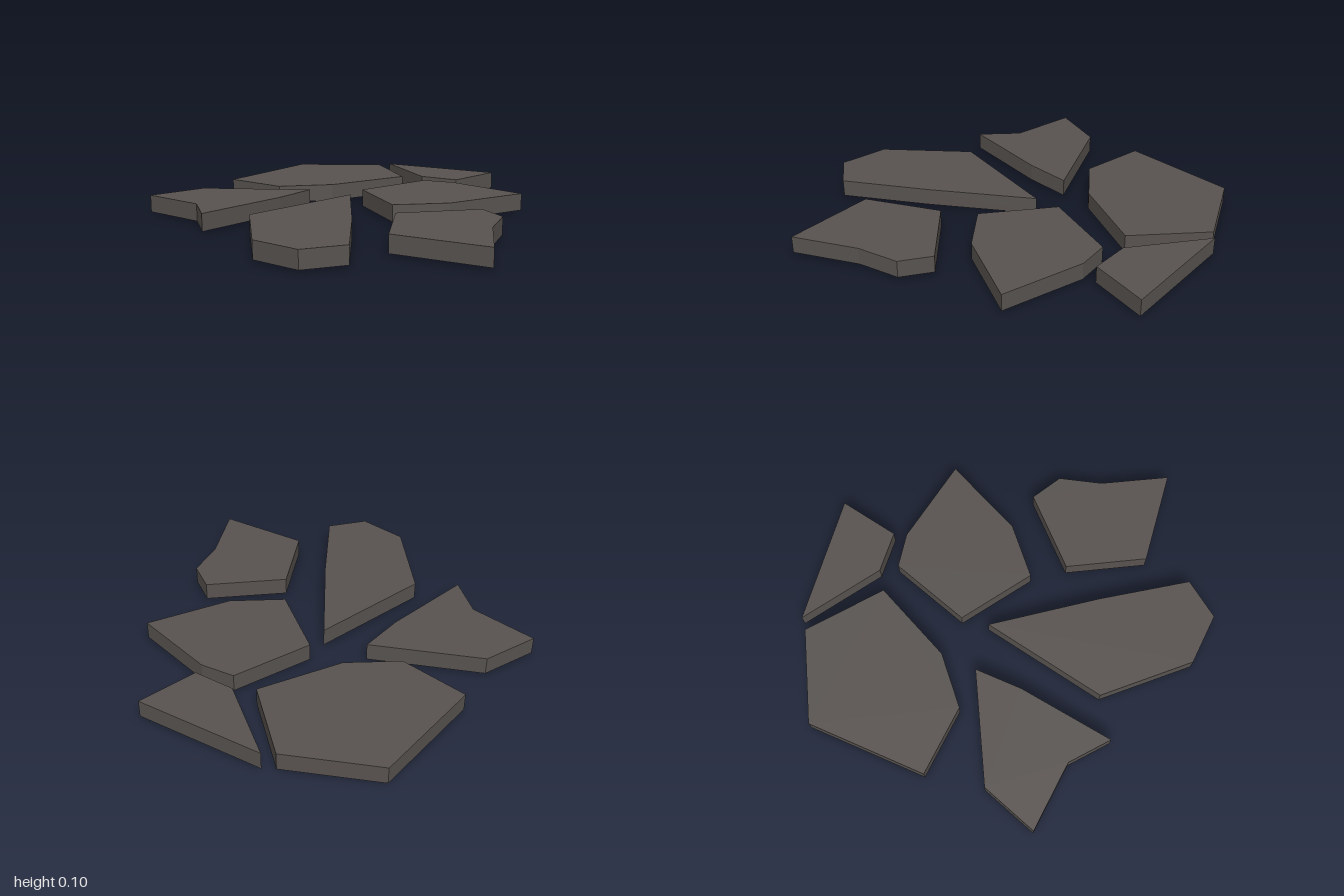
import * as THREE from 'three';

// Outline of each paving slab as [x, z], and how far its back edge sinks
const SLABS = [
  { name: 'backLeftSlab', sink: 0.006, outline: [[-0.645, -0.96], [-0.35, -0.885], [-0.045, -0.395], [-0.29, -0.38], [-0.785, -0.41], [-0.65, -0.6]] },
  { name: 'backRightSlab', sink: 0.01, outline: [[-0.065, -0.96], [0.545, -1], [0.805, -0.6], [0.56, -0.24], [0.14, -0.4], [-0.065, -0.6]] },
  { name: 'rightSlab', sink: 0, outline: [[0.85, -0.555], [0.98, 0.09], [0.665, 0.055], [0.63, -0.155]] },
  { name: 'middleLeftSlab', sink: 0.005, outline: [[-0.645, -0.235], [0.005, -0.16], [-0.43, 0.215], [-0.795, 0.505], [-0.98, 0.39], [-0.98, 0.125]] },
  { name: 'centreSlab', sink: 0.004, outline: [[0.14, -0.19], [0.56, -0.09], [0.605, 0.08], [0.56, 0.53], [0.14, 0.37], [-0.065, 0.17]] },
  { name: 'frontSlab', sink: 0, outline: [[-0.205, 0.295], [0.12, 0.57], [0.045, 0.73], [-0.165, 0.805], [-0.46, 0.995], [-0.55, 0.52]] },
];
const BOTTOM = 0.01;
const THICKNESS = 0.088;

function slabGeometry(outline, sink) {
  const shape = new THREE.Shape(outline.map(([x, z]) => new THREE.Vector2(x, -z)));
  const geometry = new THREE.ExtrudeGeometry(shape, { depth: THICKNESS, bevelEnabled: false });
  geometry.rotateX(-Math.PI / 2);
  // Tilt the slab gently down towards its back
  const zs = outline.map((p) => p[1]);
  const front = Math.max(...zs);
  const back = Math.min(...zs);
  const pos = geometry.attributes.position;
  for (let i = 0; i < pos.count; i++) {
    const t = (front - pos.getZ(i)) / (front - back);
    pos.setY(i, pos.getY(i) + BOTTOM - sink * t);
  }
  geometry.computeVertexNormals();
  return geometry;
}

export function createModel() {
  const group = new THREE.Group();
  group.name = 'steppingStones';
  const stone = new THREE.MeshStandardMaterial({ color: 0x585350, flatShading: true });
  stone.name = 'darkStone';
  for (const { name, sink, outline } of SLABS) {
    const mesh = new THREE.Mesh(slabGeometry(outline, sink), stone);
    mesh.name = name;
    group.add(mesh);
  }
  return group;
}
